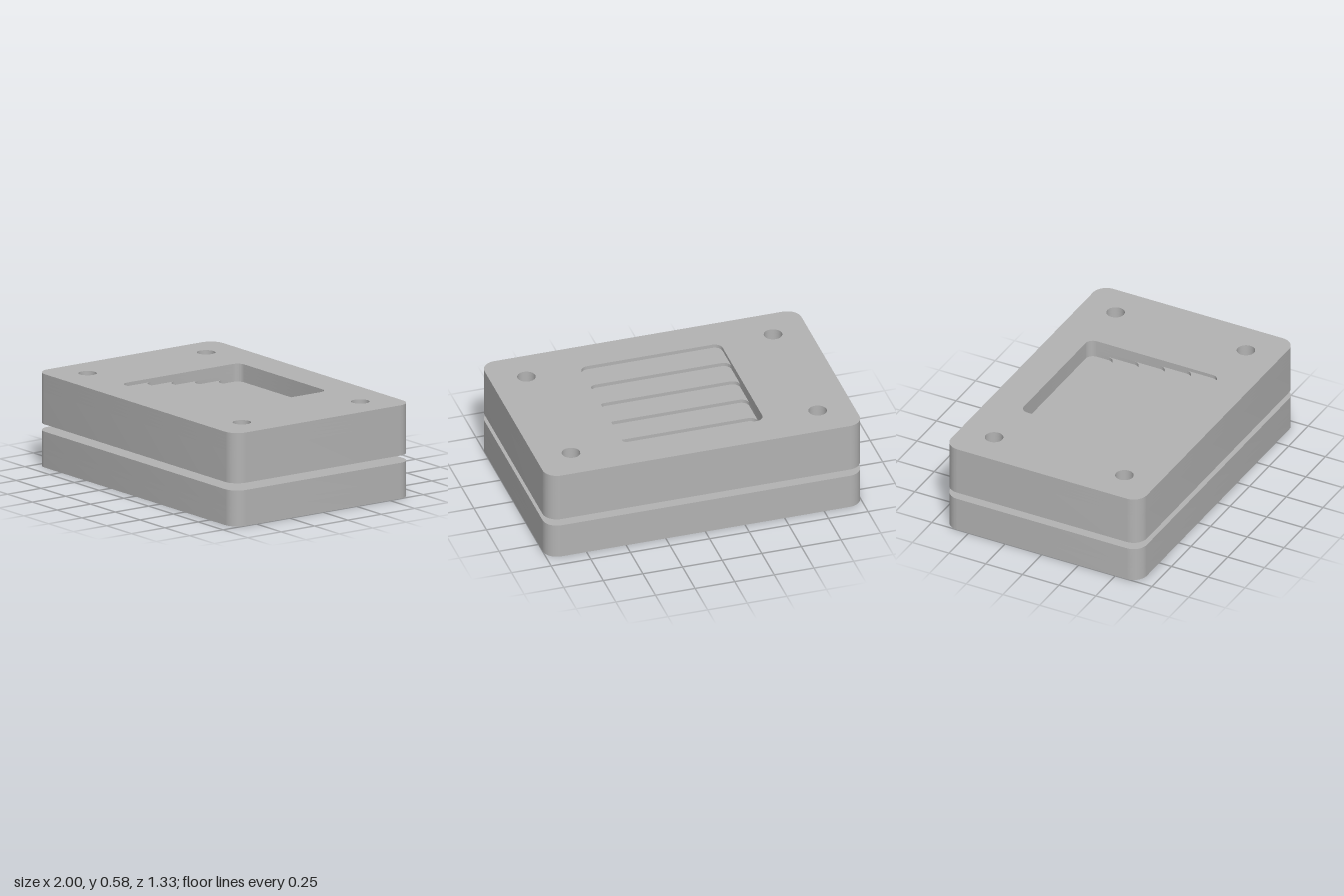
import * as THREE from 'three';
import { toCreasedNormals } from 'three/addons/utils/BufferGeometryUtils.js';

const PLATE_X = 1, PLATE_Z = 0.667, PLATE_R = 0.09;
const LOWER_TOP = 0.222, UPPER_BOTTOM = 0.267, UPPER_TOP = 0.578;
const BOLT_X = 0.778, BOLT_Z = 0.444, BOLT_R = 0.056;
const PAD = 0.0044;

// Rounded rectangle in plan; shape y runs towards -z
function roundedRect(x0, x1, y0, y1, r, Type = THREE.Shape) {
  const s = new Type();
  s.moveTo(x0 + r, y0);
  s.lineTo(x1 - r, y0);
  s.absarc(x1 - r, y0 + r, r, -Math.PI / 2, 0);
  s.lineTo(x1, y1 - r);
  s.absarc(x1 - r, y1 - r, r, 0, Math.PI / 2);
  s.lineTo(x0 + r, y1);
  s.absarc(x0 + r, y1 - r, r, Math.PI / 2, Math.PI);
  s.lineTo(x0, y0 + r);
  s.absarc(x0 + r, y0 + r, r, Math.PI, Math.PI * 1.5);
  return s;
}

function circleHole(x, y, r) {
  const p = new THREE.Path();
  p.absarc(x, y, r, 0, Math.PI * 2, true);
  return p;
}

const boltPositions = [[1, 1], [-1, 1], [1, -1], [-1, -1]].map(([a, b]) => [a * BOLT_X, b * BOLT_Z]);
const boltHoles = (r) => boltPositions.map(([x, y]) => circleHole(x, y, r));

export function createModel() {
  const model = new THREE.Group();
  model.name = 'twoPlateFixture';
  const grey = new THREE.MeshStandardMaterial({ color: 0xb3b3b3 });
  grey.name = 'metalGrey';

  const add = (parent, name, geometry) => {
    const mesh = new THREE.Mesh(geometry, grey);
    mesh.name = name;
    parent.add(mesh);
    return mesh;
  };
  // Horizontal slab between two heights
  const slab = (parent, name, shape, holes, y0, y1) => {
    shape.holes.push(...holes);
    const g = new THREE.ExtrudeGeometry(shape, { depth: y1 - y0, bevelEnabled: false, curveSegments: 16 });
    g.rotateX(-Math.PI / 2);
    g.translate(0, y0, 0);
    return add(parent, name, toCreasedNormals(g, 0.6));
  };
  const plate = () => roundedRect(-PLATE_X, PLATE_X, -PLATE_Z, PLATE_Z, PLATE_R);
  const pad = () => roundedRect(-0.622, 0.622, -0.533, 0.533, 0.06);

  // Upper plate: solid base, then layers whose pockets form a staircase deepest at the back
  const upper = new THREE.Group();
  upper.name = 'upperPlate';
  model.add(upper);
  const STEPS = 5, STEP = 0.0222, W = 0.4444, TREAD = (2 * W) / STEPS;
  slab(upper, 'upperBase', plate(), boltHoles(BOLT_R), UPPER_BOTTOM, UPPER_TOP - STEPS * STEP);
  for (let k = 0; k < STEPS; k++) {
    const pocket = roundedRect(-W, W, -W + k * TREAD, W, 0.05, THREE.Path);
    slab(upper, `stepLayer${k + 1}`, plate(), [...boltHoles(BOLT_R), pocket],
      UPPER_TOP - (k + 1) * STEP, UPPER_TOP - k * STEP);
  }
  slab(upper, 'upperPad', pad(), [], UPPER_BOTTOM - PAD, UPPER_BOTTOM);

  // Lower plate: square recess and countersunk bolt holes underneath, one small vent hole
  const lower = new THREE.Group();
  lower.name = 'lowerPlate';
  model.add(lower);
  const SINK_R = 0.15, SINK_H = 0.085, LOWER_BOLT_R = 0.064, RECESS = 0.12;
  const vent = () => circleHole(-0.535, 0, 0.034);
  const recess = () => roundedRect(-0.483, 0.483, -0.483, 0.483, 0.065, THREE.Path);
  slab(lower, 'countersinkLayer', plate(), [...boltHoles(SINK_R), recess(), vent()], 0, SINK_H);
  slab(lower, 'recessLayer', plate(), [...boltHoles(LOWER_BOLT_R), recess(), vent()], SINK_H, RECESS);
  slab(lower, 'lowerTop', plate(), [...boltHoles(LOWER_BOLT_R), vent()], RECESS, LOWER_TOP);
  slab(lower, 'lowerPad', pad(), [vent()], LOWER_TOP, LOWER_TOP + PAD);

  // Conical countersinks, facing inwards
  const cone = new THREE.LatheGeometry(
    [new THREE.Vector2(LOWER_BOLT_R, SINK_H), new THREE.Vector2(SINK_R, 0)], 32);
  for (const [x, z] of boltPositions) add(lower, 'countersink', cone).position.set(x, 0, z);

  return model;
}
